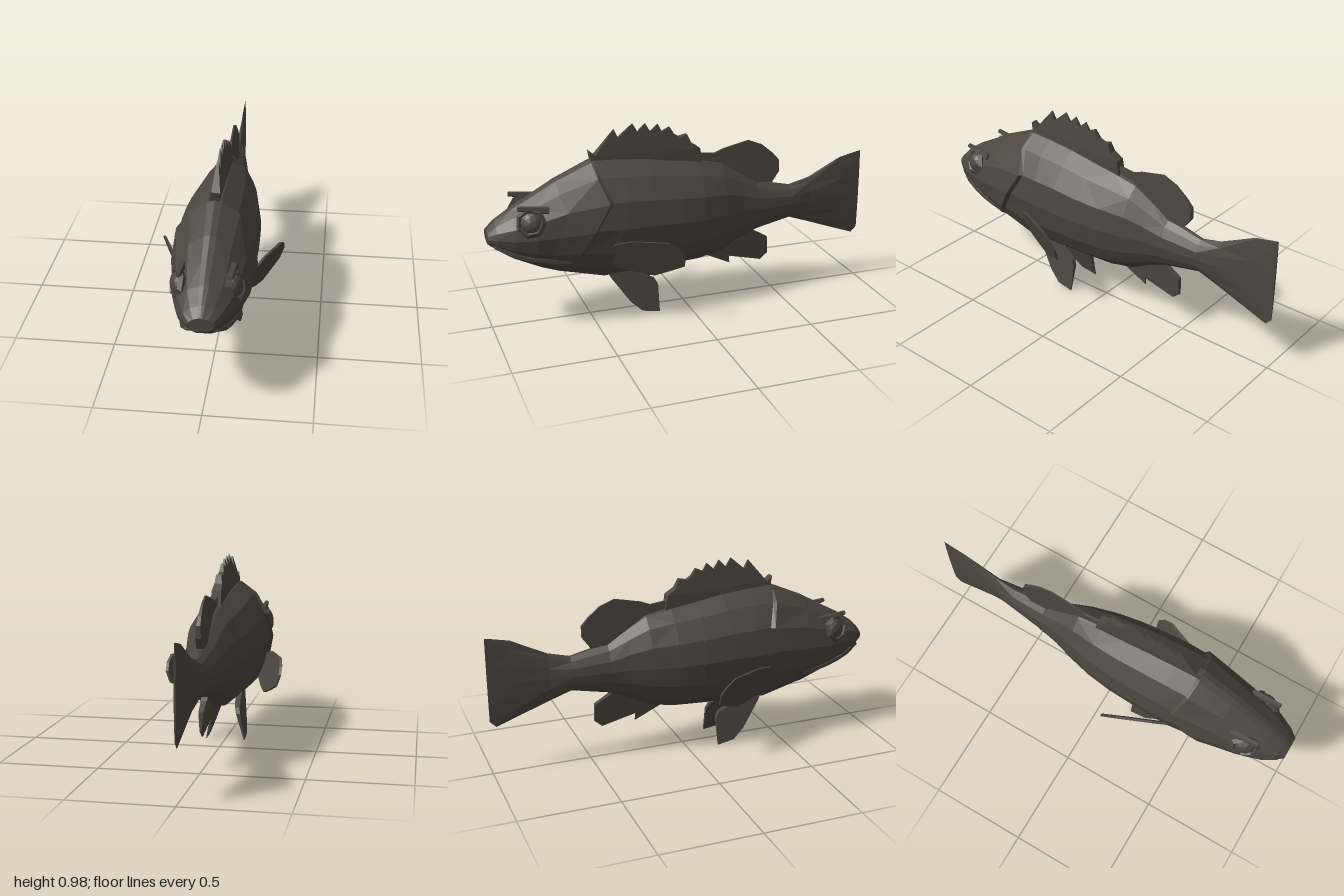
import * as THREE from 'three';

const skin = new THREE.MeshStandardMaterial({ color: 0x4c463f, flatShading: true });
skin.name = 'dark brown skin';

// Body outlines as [z, value] pairs from snout to tail
const TOP = [[1, .52], [.95, .57], [.87, .62], [.74, .69], [.62, .76], [.47, .82], [.3, .812], [.14, .795],
  [0, .765], [-.12, .755], [-.22, .725], [-.3, .67], [-.38, .615], [-.55, .57], [-.6, .565], [-.69, .59], [-.89, .69], [-1, .71]];
const BOTTOM = [[1, .45], [.95, .41], [.89, .37], [.715, .29], [.57, .25], [.42, .215], [.25, .225], [-.115, .24],
  [-.23, .27], [-.31, .32], [-.39, .35], [-.59, .39], [-.97, .25], [-1, .28]];
const WIDTH = [[1, .06], [.95, .1], [.88, .13], [.8, .155], [.7, .17], [.6, .18], [.45, .197], [.3, .195], [.1, .188],
  [-.05, .168], [-.2, .13], [-.35, .085], [-.55, .062], [-.7, .03], [-1, .005]];
// Half cross-section, top to bottom: fraction of width, fraction of height, slant of the gill edge
const SECTION = [[0, 1, 0], [.16, .985, 0], [.56, .88, -.01], [.9, .7, -.05], [1, .48, .03], [.9, .27, .1], [.66, .11, .15], [.28, 0, .17]];
// Rings: z, slant amount, extra width
const RINGS = [[1, 0, 0], [.96, 0, 0], [.88, 0, 0], [.78, 0, 0], [.66, .5, 0], [.48, 1, .014], [.462, 1, -.004], [.35, .5, 0],
  [.2, 0, 0], [.06, 0, 0], [-.07, 0, 0], [-.2, 0, 0], [-.3, 0, 0], [-.4, 0, 0], [-.59, 0, 0], [-.7, 0, 0], [-.88, 0, 0], [-.97, 0, 0], [-1, 0, 0]];

function sample(table, z) {
  for (let i = 1; i < table.length; i++) {
    const [z0, a] = table[i - 1], [z1, b] = table[i];
    if (z >= z1) return a + (b - a) * Math.min(1, Math.max(0, (z0 - z) / (z0 - z1)));
  }
  return table[table.length - 1][1];
}

// Half width of the body at a height
function surfaceX(z, y) {
  const lo = sample(BOTTOM, z), h = (y - lo) / (sample(TOP, z) - lo);
  for (let i = 1; i < SECTION.length; i++) {
    const [w0, h0] = SECTION[i - 1], [w1, h1] = SECTION[i];
    if (h >= h1) return sample(WIDTH, z) * (w0 + (w1 - w0) * (h0 - h) / (h0 - h1));
  }
  return 0;
}

function add(parent, name, geometry) {
  const mesh = new THREE.Mesh(geometry, skin);
  mesh.name = name;
  parent.add(mesh);
  return mesh;
}

// Body and tail lofted through the rings
function bodyGeometry() {
  const pos = [], idx = [];
  const n = SECTION.length * 2 - 1;
  for (const [z0, slant, extra] of RINGS) {
    for (let j = 0; j < n; j++) {
      const side = j < SECTION.length ? 1 : -1;
      const [w, h, s] = SECTION[side > 0 ? j : n - j];
      const z = z0 + s * slant, lo = sample(BOTTOM, z);
      pos.push(side * w * (sample(WIDTH, z) + extra), lo + (sample(TOP, z) - lo) * h, z);
    }
  }
  for (let i = 0; i < RINGS.length - 1; i++) {
    for (let j = 0; j < n; j++) {
      const a = i * n + j, b = i * n + (j + 1) % n, c = a + n, d = b + n;
      if ((i + j) % 2) idx.push(a, b, d, a, d, c);
      else idx.push(a, b, c, b, d, c);
    }
  }
  // End caps
  const last = (RINGS.length - 1) * n;
  for (let j = 1; j < n - 1; j++) {
    idx.push(0, j + 1, j);
    idx.push(last, last + j, last + j + 1);
  }
  const g = new THREE.BufferGeometry();
  g.setAttribute('position', new THREE.Float32BufferAttribute(pos, 3));
  g.setIndex(idx);
  g.computeVertexNormals();
  return g;
}

// Fin from a [z, y] outline; centre(z, y) sets its x and thick(y) its taper
function finGeometry(outline, centre, thick) {
  const shape = new THREE.Shape(outline.map(([z, y]) => new THREE.Vector2(-z, y)));
  const g = new THREE.ExtrudeGeometry(shape, { depth: 1, bevelEnabled: false });
  const p = g.attributes.position;
  for (let i = 0; i < p.count; i++) {
    const z = -p.getX(i), y = p.getY(i), w = p.getZ(i);
    p.setXYZ(i, centre(z, y) + (w - .5) * thick(y), y, z);
  }
  g.computeVertexNormals();
  return g;
}

export function createModel() {
  const fish = new THREE.Group();
  fish.name = 'fish';
  add(fish, 'bodyAndTail', bodyGeometry());

  // Spiny and soft back fins, belly fin
  const middle = () => 0;
  const backTaper = y => .004 + .05 * Math.max(0, (.97 - y) / .17);
  add(fish, 'spinyBackFin', finGeometry([[.47, .78], [.485, .86], [.455, .835], [.355, .955], [.335, .91], [.26, .975],
    [.235, .93], [.195, .97], [.17, .925], [.13, .96], [.11, .92], [.07, .94], [.045, .9], [.02, .885], [-.02, .895],
    [-.04, .85], [-.085, .82], [-.1, .73], [.14, .76]], middle, y => Math.min(.05, backTaper(y))));
  add(fish, 'softBackFin', finGeometry([[-.05, .72], [-.09, .79], [-.17, .78], [-.22, .8], [-.355, .83], [-.43, .8], [-.49, .75],
    [-.525, .71], [-.525, .65], [-.485, .595], [-.38, .605], [-.36, .58], [-.22, .67]], middle, y => .006 + .12 * Math.max(0, .83 - y)));
  add(fish, 'bellyFin', finGeometry([[-.1, .27], [-.115, .24], [-.26, .17], [-.255, .21], [-.435, .165], [-.475, .2], [-.47, .29],
    [-.4, .33], [-.34, .38], [-.22, .31]], middle, y => .006 + .14 * Math.max(0, y - .165)));

  for (const s of [1, -1]) {
    const side = s > 0 ? 'left' : 'right';
    // Side fins, flaring backwards
    add(fish, side + 'SideFin', finGeometry([[.44, .4], [.41, .43], [.34, .45], [.17, .445], [.12, .41], [.09, .37], [.09, .31],
      [.15, .28], [.22, .25], [.3, .265], [.4, .3], [.44, .34]],
    (z, y) => s * (.17 + (.42 - z) * .42 + (y - .4) * .35), () => .014));
    // Lower fins, spreading downwards
    add(fish, side + 'LowerFin', finGeometry([[.42, .24], [.4, .2], [.31, .07], [.25, .015], [.16, 0], [.16, .14], [.175, .17],
      [.29, .22], [.31, .25]],
    (z, y) => s * (.05 + (.215 - y) * .24), y => .005 + .12 * y));

    // Eye with a faceted socket
    const eye = new THREE.Group();
    eye.name = side + 'Eye';
    eye.position.set(s * .128, .572, .805);
    eye.rotation.set(-.3, s * 1.2, 0, 'YXZ');
    const ball = add(eye, 'eyeball', new THREE.IcosahedronGeometry(.052, 1));
    ball.scale.z = .6;
    add(eye, 'eyeSocket', new THREE.TorusGeometry(.06, .017, 4, 7));
    fish.add(eye);

    // Brow ridge
    const brow = add(fish, side + 'Brow', new THREE.CylinderGeometry(.012, .022, .15, 5));
    brow.position.set(s * .115, .632, .79);
    brow.rotation.set(1.4, 0, 0);
  }

  // Lip running round the mouth
  const sidePath = [[.62, .352], [.75, .37], [.87, .4], [.955, .44]];
  const right = sidePath.map(([z, y]) => new THREE.Vector3(-surfaceX(z, y), y, z));
  const left = right.map(v => new THREE.Vector3(-v.x, v.y, v.z)).reverse();
  const lipPath = new THREE.CatmullRomCurve3([...right, new THREE.Vector3(0, .465, .985), ...left]);
  add(fish, 'lip', new THREE.TubeGeometry(lipPath, 12, .015, 5, false));

  return fish;
}
